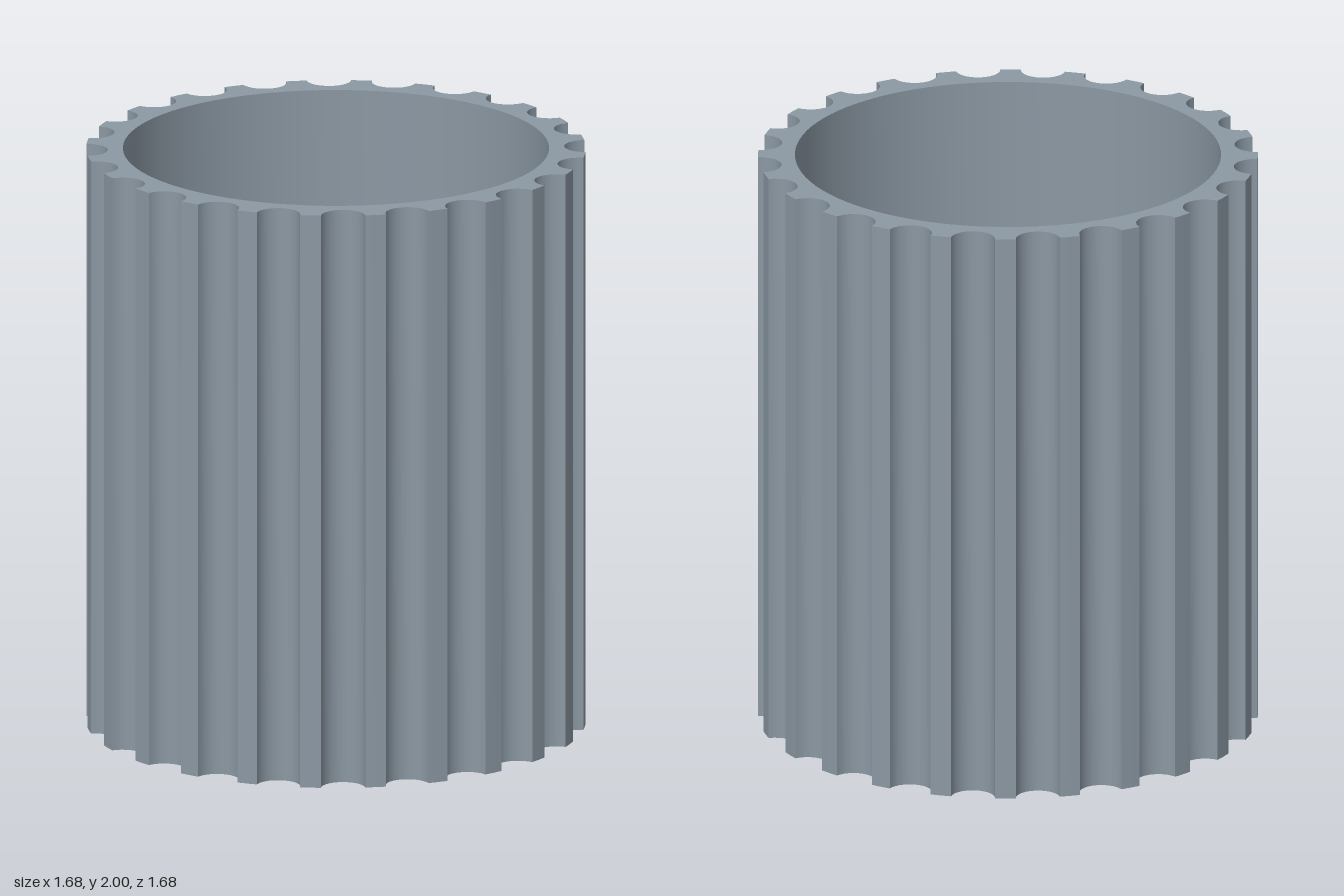
import * as THREE from 'three';
import { toCreasedNormals } from 'three/addons/utils/BufferGeometryUtils.js';

const HEIGHT = 2, OUTER = 0.841, INNER = 0.717, FLOOR = 0.12;
const FLUTES = 24, FLUTE_R = 0.075, FLUTE_CENTRE = 0.843;
const FLUTE_STEPS = 14, ROUND_STEPS = 96;

// Outline of the cup: round ribs cut by semicircular flutes
function flutedOutline() {
  const half = Math.acos((OUTER ** 2 + FLUTE_CENTRE ** 2 - FLUTE_R ** 2) / (2 * OUTER * FLUTE_CENTRE));
  const start = Math.atan2(-OUTER * Math.sin(half), OUTER * Math.cos(half) - FLUTE_CENTRE);
  const sweep = 2 * Math.PI + 2 * start;
  const step = (2 * Math.PI) / FLUTES;
  const points = [];
  for (let i = 0; i < FLUTES; i++) {
    const a = i * step;
    for (let j = 0; j <= FLUTE_STEPS; j++) {
      const t = a + start - (sweep * j) / FLUTE_STEPS;
      points.push(new THREE.Vector2(
        FLUTE_CENTRE * Math.cos(a) + FLUTE_R * Math.cos(t),
        FLUTE_CENTRE * Math.sin(a) + FLUTE_R * Math.sin(t)));
    }
    // Middle of the rib tip
    const m = a + step / 2;
    points.push(new THREE.Vector2(OUTER * Math.cos(m), OUTER * Math.sin(m)));
  }
  return points;
}

function circle(radius) {
  return Array.from({ length: ROUND_STEPS }, (_, i) => {
    const a = (i / ROUND_STEPS) * Math.PI * 2;
    return new THREE.Vector2(radius * Math.cos(a), radius * Math.sin(a));
  });
}

export function createModel() {
  const group = new THREE.Group();
  group.name = 'flutedCup';
  const slate = new THREE.MeshStandardMaterial({ color: 0x8b98a3 });
  slate.name = 'slateGrey';

  // Fluted wall with a round bore
  const shape = new THREE.Shape(flutedOutline());
  shape.holes.push(new THREE.Path(circle(INNER)));
  const wallGeometry = new THREE.ExtrudeGeometry(shape, { depth: HEIGHT, bevelEnabled: false });
  wallGeometry.rotateX(-Math.PI / 2);
  const wall = new THREE.Mesh(toCreasedNormals(wallGeometry, 0.6), slate);
  wall.name = 'flutedWall';
  group.add(wall);

  // Closed floor inside the bore
  const floor = new THREE.Mesh(new THREE.CylinderGeometry(INNER, INNER, FLOOR, ROUND_STEPS), slate);
  floor.name = 'floor';
  floor.position.y = FLOOR / 2;
  group.add(floor);

  return group;
}
